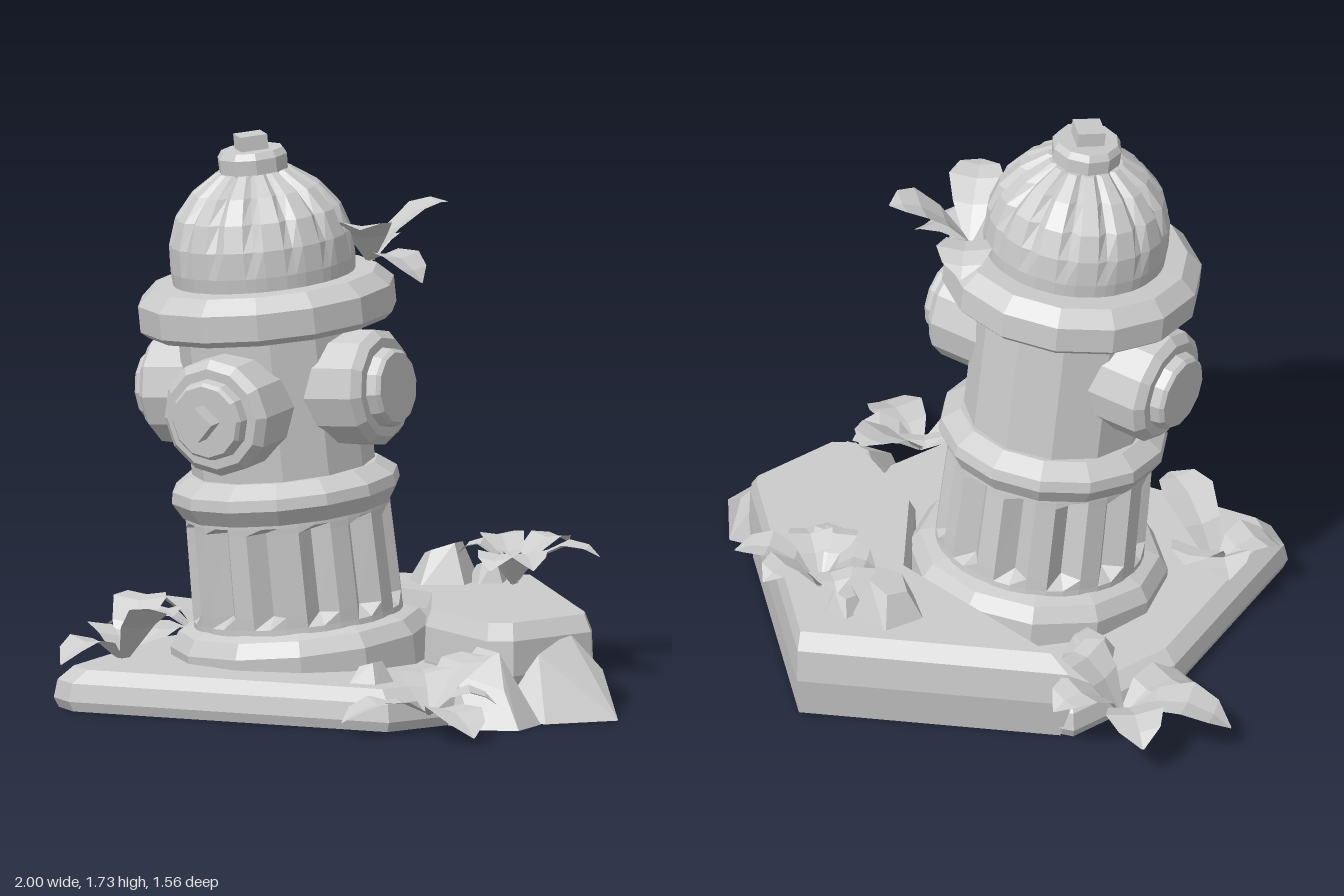
import * as THREE from 'three';
import { ConvexGeometry } from 'three/addons/geometries/ConvexGeometry.js';

const stone = new THREE.MeshStandardMaterial({ color: 0xcccccc, flatShading: true });
const leafMat = new THREE.MeshStandardMaterial({ color: 0xcccccc, flatShading: true, side: THREE.DoubleSide });
const V = (x, y, z) => new THREE.Vector3(x, y, z);

function add(parent, name, geometry, material = stone) {
  const mesh = new THREE.Mesh(geometry, material);
  mesh.name = name;
  parent.add(mesh);
  return mesh;
}

// Joins rings of points (counter-clockwise from above, bottom to top) and caps both ends
function loft(rings, cx = 0, cz = 0) {
  const n = rings[0].length, pos = [], idx = [];
  rings.forEach(r => r.forEach(p => pos.push(...p)));
  const last = (rings.length - 1) * n;
  pos.push(cx, rings[0][0][1], cz, cx, rings.at(-1)[0][1], cz);
  const lo = rings.length * n, hi = lo + 1;
  for (let j = 0; j < n; j++) {
    const k = (j + 1) % n;
    for (let i = 0; i < last; i += n) idx.push(i + j, i + k, i + n + k, i + j, i + n + k, i + n + j);
    idx.push(lo, k, j, hi, last + j, last + k);
  }
  const g = new THREE.BufferGeometry();
  g.setAttribute('position', new THREE.Float32BufferAttribute(pos, 3));
  g.setIndex(idx);
  const flat = g.toNonIndexed();
  flat.computeVertexNormals();
  return flat;
}

// Outline stacked at [height, scale] levels around a centre
const slab = (outline, levels, cx, cz) => loft(levels.map(([y, s]) =>
  outline.map(([x, z]) => [cx + (x - cx) * s, y, cz + (z - cz) * s])), cx, cz);

// Round body with V grooves; rows are [height, radius, groove depth]
function fluted(rows, count, width) {
  const step = Math.PI * 2 / count;
  return loft(rows.map(([y, r, d]) => {
    const ring = [];
    for (let i = 0; i < count; i++) {
      [[0, r - d], [width / 2, r], [1 - width / 2, r]].forEach(([t, q]) => {
        const a = (i + t + 0.5) * step;
        ring.push([Math.cos(a) * q, y, -Math.sin(a) * q]);
      });
    }
    return ring;
  }));
}

const lathe = (pts, sides) => new THREE.LatheGeometry(pts.map(p => new THREE.Vector2(...p)), sides);

// Broad, slightly folded, arched leaf from base to tip
function leaf(parent, base, tip, width, arch) {
  const dir = tip.clone().sub(base);
  const side = V(-dir.z, 0, dir.x).normalize();
  const pos = [], idx = [];
  [[0, 0.15], [0.3, 0.72], [0.6, 1], [0.84, 0.72], [1, 0.04]].forEach(([t, w], i) => {
    const c = base.clone().addScaledVector(dir, t);
    c.y += arch * 4 * t * (1 - t);
    for (const s of [-1, 0, 1]) {
      const p = c.clone().addScaledVector(side, s * w * width / 2);
      if (s) p.y += w * width * 0.08;
      pos.push(p.x, p.y, p.z);
    }
    if (i) for (let k = 0; k < 2; k++) {
      const a = i * 3 - 3 + k;
      idx.push(a, a + 1, a + 4, a, a + 4, a + 3);
    }
  });
  const g = new THREE.BufferGeometry();
  g.setAttribute('position', new THREE.Float32BufferAttribute(pos, 3));
  g.setIndex(idx);
  g.computeVertexNormals();
  add(parent, 'leaf', g, leafMat);
}

function plant(parent, name, base, width, arch, tips) {
  const g = new THREE.Group();
  g.name = name;
  tips.forEach(t => leaf(g, V(...base), V(...t), width, arch));
  parent.add(g);
}

function createHydrant() {
  const h = new THREE.Group();
  h.name = 'hydrant';
  add(h, 'baseRing', lathe([[0, 0.06], [0.395, 0.06], [0.395, 0.19], [0.365, 0.235], [0.32, 0.25], [0, 0.25]], 12));
  add(h, 'flutedColumn', fluted([[0.23, 0.32, 0], [0.265, 0.318, 0], [0.3, 0.318, 0.05],
    [0.555, 0.312, 0.05], [0.575, 0.312, 0], [0.62, 0.31, 0]], 12, 0.62));
  add(h, 'middleFlange', lathe([[0.28, 0.58], [0.32, 0.585], [0.35, 0.635], [0.345, 0.67], [0.29, 0.71], [0.2, 0.71]], 14));
  add(h, 'barrel', lathe([[0.278, 0.68], [0.278, 1.2]], 12));
  add(h, 'capRing', lathe([[0.2, 1.15], [0.37, 1.15], [0.393, 1.17], [0.393, 1.25], [0.345, 1.295], [0.2, 1.3]], 14));
  add(h, 'dome', fluted([[1.27, 0.275, 0], [1.34, 0.281, 0], [1.42, 0.278, 0.008], [1.5, 0.252, 0.02],
    [1.57, 0.195, 0.026], [1.625, 0.115, 0.018]], 14, 0.5));
  add(h, 'crown', lathe([[0.105, 1.59], [0.108, 1.67], [0.095, 1.69], [0, 1.69]], 10));
  add(h, 'crownNut', new THREE.CylinderGeometry(0.06, 0.06, 0.06, 4).translate(0, 1.705, 0));

  // Side outlets and the front outlet with its nut
  const outlet = (name, turn, r) => {
    const o = new THREE.Group();
    o.name = name;
    const g = lathe([[r, 0.15], [r, 0.365], [r - 0.025, 0.39], [r - 0.055, 0.39],
      [r - 0.06, 0.42], [r - 0.07, 0.432], [0, 0.432]], 12);
    add(o, 'outletBody', g.rotateX(Math.PI / 2));
    o.position.y = turn ? 0.955 : 0.935;
    o.rotation.y = turn;
    h.add(o);
    return o;
  };
  outlet('leftOutlet', Math.PI / 2, 0.178);
  outlet('rightOutlet', -Math.PI / 2, 0.178);
  const front = outlet('frontOutlet', 0, 0.18);
  add(front, 'outletNut', new THREE.BoxGeometry(0.075, 0.075, 0.12).rotateZ(Math.PI / 4).translate(0, 0, 0.425));

  // Slight lean forward and to the side
  h.quaternion.setFromUnitVectors(V(0, 1, 0), V(-0.065, 1, 0.085).normalize());
  h.position.set(-0.085, 0, 0.08);
  return h;
}

// Faceted boulder from a ground outline and a few upper points
const rock = (parent, y, ground, top) => add(parent, 'rock',
  new ConvexGeometry([...ground.map(([x, z]) => V(x, y, z)), ...top.map(p => V(...p))]));

// Small stone: wide five-sided foot, tilted smaller top
function pebble(parent, x, y, z, r, h) {
  const ground = [], top = [];
  for (let i = 0; i < 5; i++) {
    const a = i * 1.257 + x * 9, c = Math.cos(a), s = Math.sin(a);
    ground.push([x + c * r, z + s * r]);
    top.push([x + c * r * 0.5, y + h * (0.85 + 0.15 * c), z + s * r * 0.5]);
  }
  rock(parent, y, ground, top);
}

export function createModel() {
  const model = new THREE.Group();
  model.name = 'hydrantOnBrokenPavement';

  // Pavement: low front slab and raised broken slab behind
  add(model, 'frontSlab', slab([[-0.69, -0.05], [-0.62, 0.68], [-0.53, 0.745], [0.53, 0.64], [0.68, 0.25],
    [0.6, 0.1], [0.2, -0.4], [-0.45, -0.47], [-0.57, -0.44], [-0.63, -0.25]],
    [[0, 0.98], [0.03, 1], [0.085, 0.985], [0.125, 0.92]], -0.05, 0.15));
  add(model, 'backSlab', slab([[-0.57, -0.45], [0.12, -0.28], [0.31, 0.05], [0.64, 0.24], [0.71, 0.2],
    [0.81, -0.1], [0.79, -0.14], [0.2, -0.79]], [[0, 0.95], [0.13, 1], [0.235, 0.985], [0.285, 0.91]], 0.35, -0.35));

  model.add(createHydrant());

  // Rocks
  rock(model, 0, [[0.72, -0.08], [0.88, -0.11], [1, 0.07], [0.85, 0.25], [0.66, 0.24]],
    [[0.77, 0.24, -0.03], [0.75, 0.19, 0.12], [0.87, 0.13, -0.06], [0.86, 0.12, 0.07]]);
  rock(model, 0, [[0.54, 0.25], [0.7, 0.2], [0.84, 0.26], [0.85, 0.41], [0.72, 0.47], [0.54, 0.38]],
    [[0.61, 0.22, 0.25], [0.7, 0.21, 0.27], [0.77, 0.11, 0.36], [0.6, 0.15, 0.36]]);
  pebble(model, 0.37, 0.12, 0.48, 0.075, 0.07);
  pebble(model, 0.05, 0.27, -0.51, 0.12, 0.14);
  pebble(model, 0.17, 0.27, -0.57, 0.07, 0.09);
  pebble(model, -0.47, 0.1, -0.19, 0.1, 0.1);

  // Plants around the slab and on the cap ring
  plant(model, 'backRightPlant', [-0.68, 0.07, -0.34], 0.18, 0.08, [[-0.58, 0.18, -0.57], [-0.87, 0.12, -0.52],
    [-1, 0.08, -0.23], [-0.78, 0.03, -0.04], [-0.47, 0.22, -0.34]]);
  plant(model, 'backPlant', [0.29, 0.29, -0.52], 0.14, 0.07, [[0.54, 0.38, -0.61], [0.36, 0.4, -0.73],
    [0.14, 0.4, -0.66], [0.44, 0.36, -0.38], [0.33, 0.36, -0.31], [0.13, 0.38, -0.46]]);
  plant(model, 'frontLeftPlant', [0.62, 0.05, 0.55], 0.17, 0.05, [[0.44, 0.04, 0.77], [0.88, 0.02, 0.73],
    [0.79, 0.08, 0.44], [0.52, 0.16, 0.43], [0.66, 0.2, 0.28]]);
  plant(model, 'frontRightPlant', [-0.53, 0.11, 0.42], 0.17, 0.07, [[-0.63, 0.12, 0.62], [-0.57, 0.28, 0.18],
    [-0.27, 0.29, 0.56], [-0.64, 0.17, 0.32]]);
  plant(model, 'capPlant', [0.09, 1.33, 0], 0.17, 0.05, [[0.26, 1.5, -0.18], [0.19, 1.46, 0.23],
    [0.29, 1.28, 0.03], [-0.01, 1.34, -0.2]]);
  return model;
}
